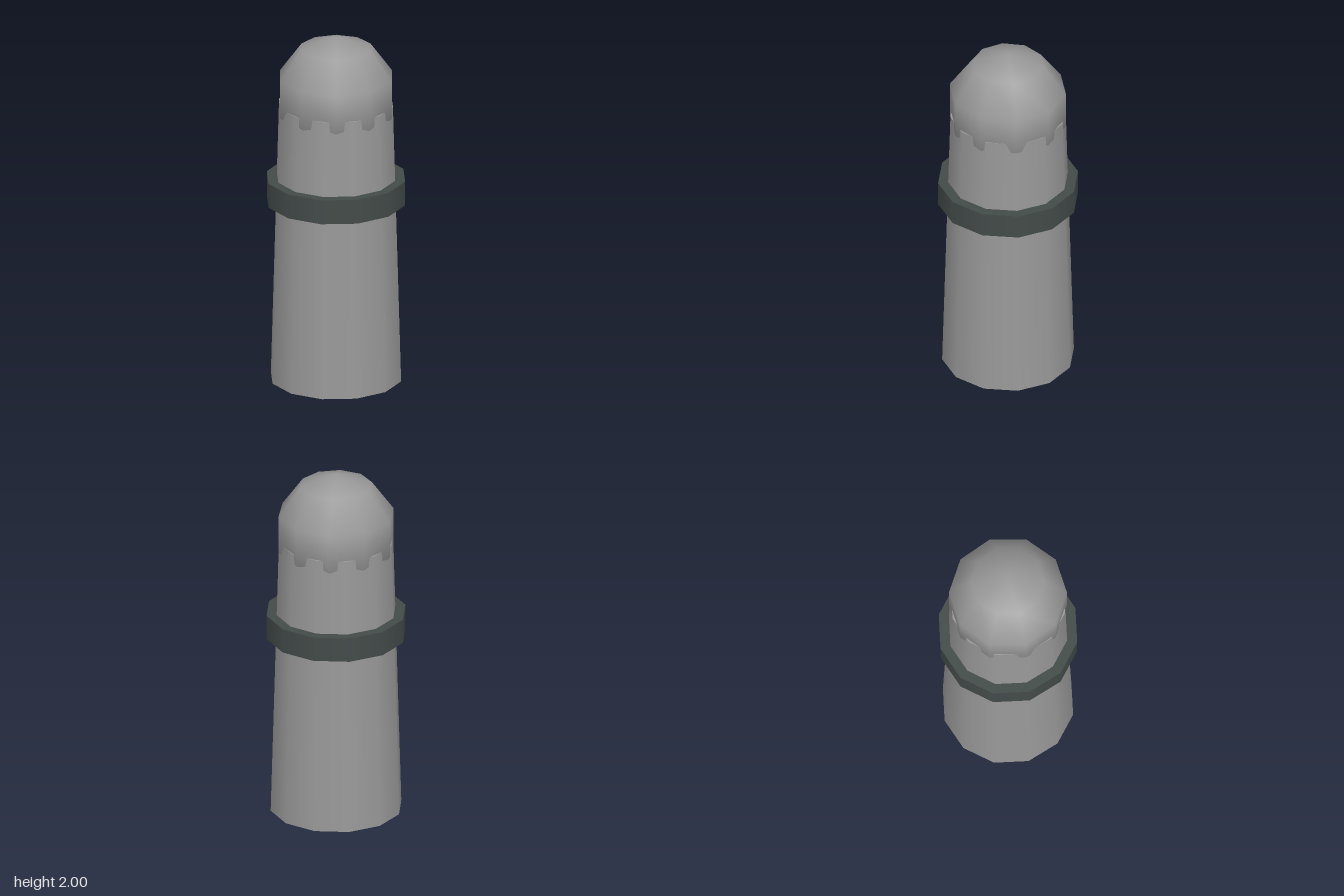
import * as THREE from 'three';

export function createModel() {
  const group = new THREE.Group();
  const stone = new THREE.MeshStandardMaterial({ color: 0x999999 });
  stone.name = 'grey';
  const dark = new THREE.MeshStandardMaterial({ color: 0x434b49 });
  dark.name = 'dark slate';

  const add = (name, geometry, material, y) => {
    const mesh = new THREE.Mesh(geometry, material);
    mesh.name = name;
    mesh.position.y = y;
    group.add(mesh);
  };

  // Tapered post standing on the ground
  const height = 1.61;
  add('post', new THREE.CylinderGeometry(0.321, 0.367, height, 12), stone, height / 2);

  // Collar around the post
  add('collar', new THREE.CylinderGeometry(0.39, 0.39, 0.14, 12), dark, 1.107);

  // Domed cap, a coarse ball sunk into the top of the post
  const radius = 0.341;
  add('domeCap', new THREE.SphereGeometry(radius, 10, 5), stone, 2 - radius);

  return group;
}
